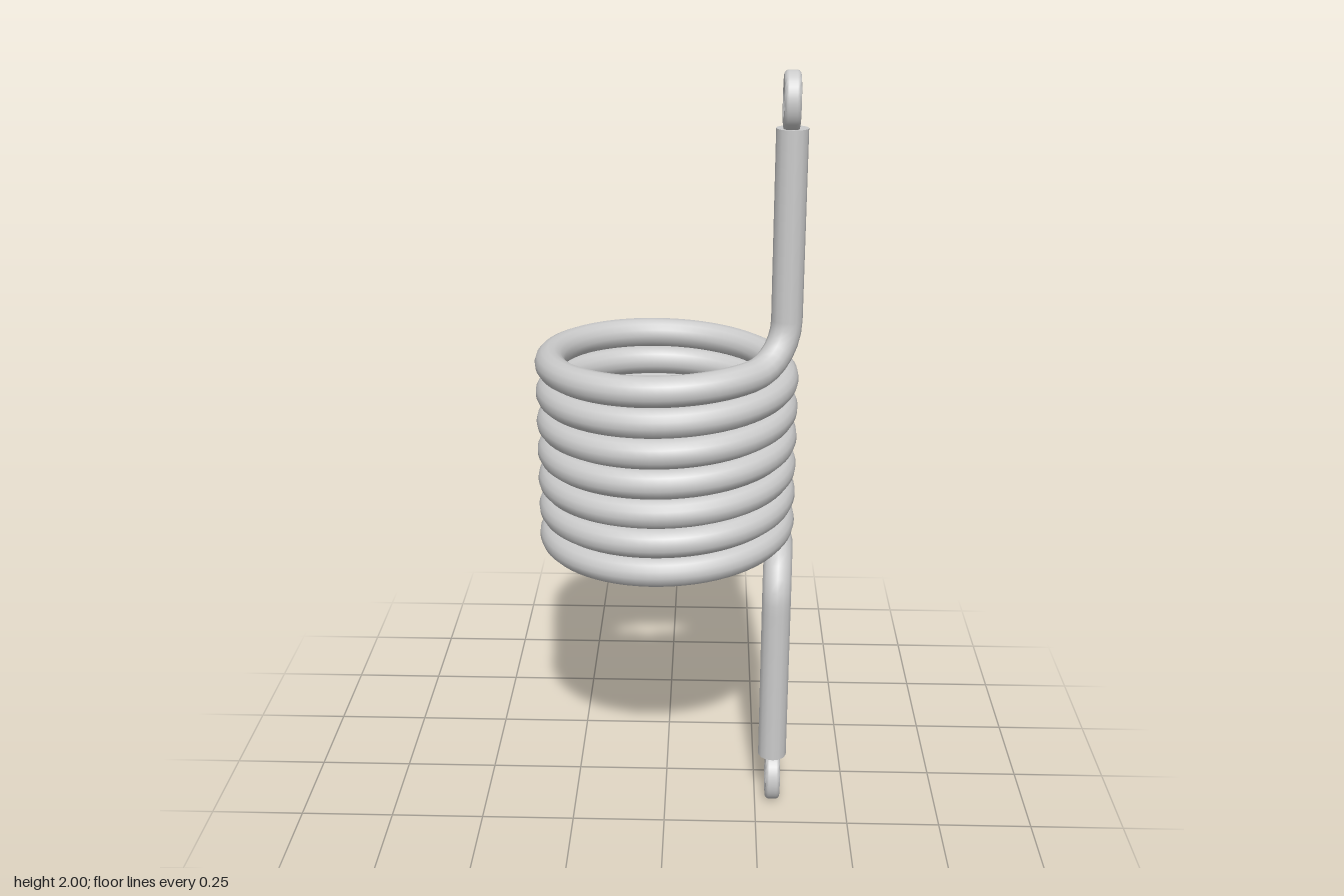
import * as THREE from 'three';
import { toCreasedNormals } from 'three/addons/utils/BufferGeometryUtils.js';

const COIL_R = 0.303, WIRE_R = 0.039, PITCH = 0.08, TURNS = 6.875, COIL_Y = 0.725;
const LEG_X = 0.298, LEG_Z = 0.122;
const V = (x, y, z) => new THREE.Vector3(x, y, z);

// Coil centreline, climbing from the right-hand side round the back
class Helix extends THREE.Curve {
  getPoint(t, target = new THREE.Vector3()) {
    const a = t * TURNS * Math.PI * 2;
    return target.set(COIL_R * Math.cos(a), COIL_Y + PITCH * TURNS * t, -COIL_R * Math.sin(a));
  }
}

// Quarter bend from a to b, rounding the given corner
function bend(a, corner, b) {
  const k = 0.552;
  return new THREE.CubicBezierCurve3(a, a.clone().lerp(corner, k), b.clone().lerp(corner, k), b);
}

// Flat, softly bevelled oval ring with a round hole, facing sideways
function eyeletGeometry() {
  const bevel = 0.01, depth = 0.02;
  const shape = new THREE.Shape();
  shape.absellipse(0, 0, 0.061 - bevel, 0.071 - bevel, 0, Math.PI * 2);
  const hole = new THREE.Path();
  hole.absarc(0, 0, 0.033 + bevel, 0, Math.PI * 2, true);
  shape.holes.push(hole);
  const geo = new THREE.ExtrudeGeometry(shape, {
    depth, bevelEnabled: true, bevelSize: bevel, bevelThickness: bevel, bevelSegments: 3, curveSegments: 16,
  });
  geo.translate(0, 0, -depth / 2).rotateY(Math.PI / 2);
  return toCreasedNormals(geo, 0.7);
}

export function createModel() {
  const group = new THREE.Group();
  const material = new THREE.MeshStandardMaterial({ color: 0xcccccc });
  const add = (name, geometry) => {
    const mesh = new THREE.Mesh(geometry, material);
    mesh.name = name;
    group.add(mesh);
    return mesh;
  };

  // One continuous wire: lower leg, bend, coil, bend, upper leg
  const helix = new Helix();
  const start = helix.getPoint(0), end = helix.getPoint(1);
  const lowEnd = V(LEG_X - 0.002, 0.14, LEG_Z + 0.002), lowBend = V(lowEnd.x, COIL_Y - 0.12, lowEnd.z);
  const topEnd = V(LEG_X + 0.003, 1.865, LEG_Z), topBend = V(topEnd.x, end.y + 0.12, LEG_Z);
  const path = new THREE.CurvePath();
  path.arcLengthDivisions = 800;
  path.add(new THREE.LineCurve3(lowEnd, lowBend));
  path.add(bend(lowBend, V(lowEnd.x, COIL_Y, lowEnd.z), start));
  path.add(helix);
  path.add(bend(end, V(topEnd.x, end.y, LEG_Z), topBend));
  path.add(new THREE.LineCurve3(topBend, topEnd));
  add('springWire', new THREE.TubeGeometry(path, 520, WIRE_R, 14, false));

  // Flat caps closing the wire ends, and the eyelets beyond them
  [['upper', topEnd, 1, 1.929], ['lower', lowEnd, -1, 0.071]].forEach(([side, p, dir, y]) => {
    const cap = add(side + 'WireCap', new THREE.CircleGeometry(WIRE_R, 28));
    cap.position.copy(p);
    cap.rotation.x = -dir * Math.PI / 2;
    add(side + 'Eyelet', eyeletGeometry()).position.set(LEG_X, y, LEG_Z + 0.002);
  });

  return group;
}
